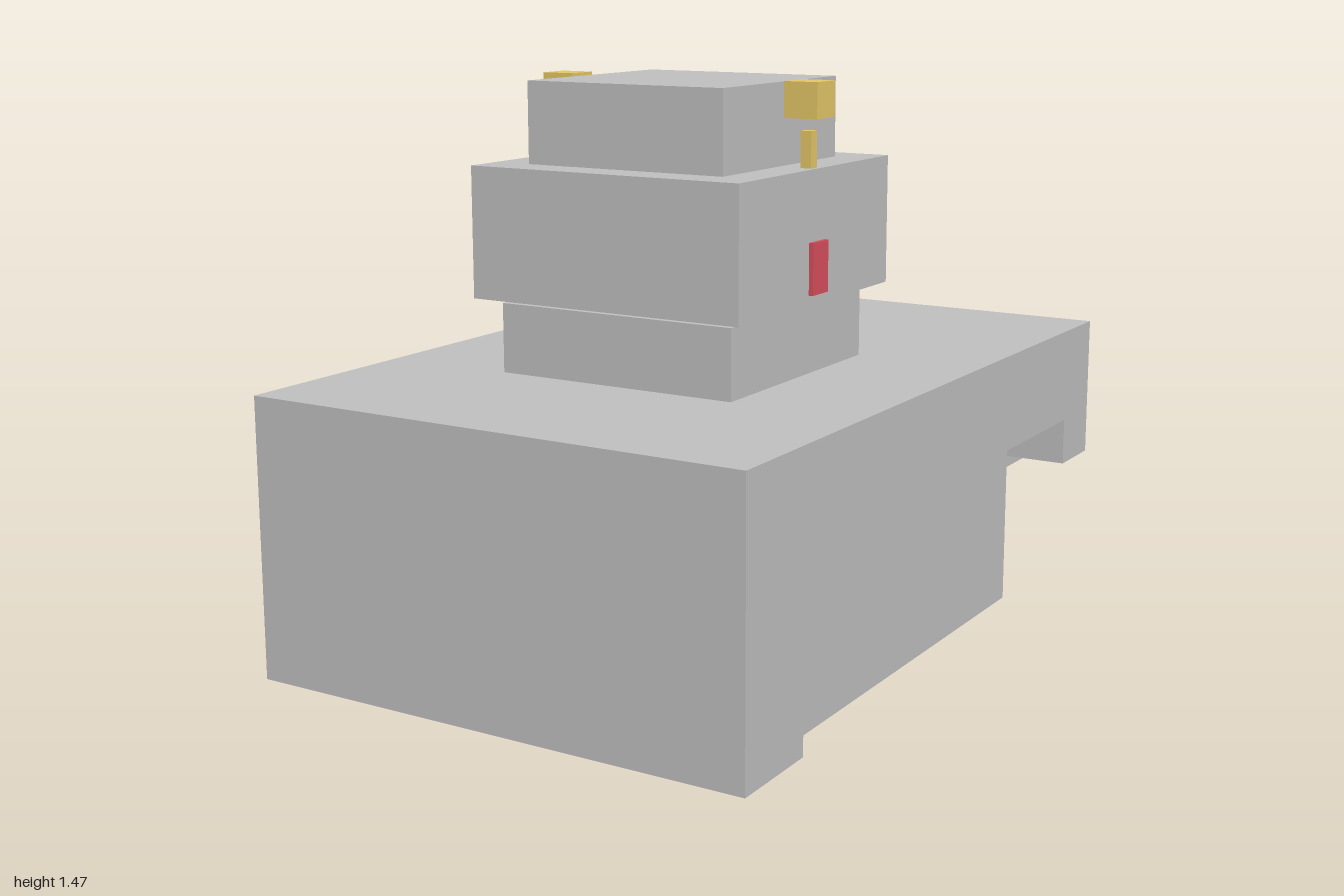
import * as THREE from 'three';

export function createModel() {
  const model = new THREE.Group();
  model.name = 'model';

  const material = (name, color) => {
    const m = new THREE.MeshStandardMaterial({ color });
    m.name = name;
    return m;
  };
  const grey = material('light grey', 0xc0c0c0);
  const gold = material('gold', 0xe5c868);
  const red = material('red', 0xd9505e);

  // Adds a box given by its extents along each axis
  const block = (name, mat, [x0, x1], [y0, y1], [z0, z1]) => {
    const mesh = new THREE.Mesh(new THREE.BoxGeometry(x1 - x0, y1 - y0, z1 - z0), mat);
    mesh.position.set((x0 + x1) / 2, (y0 + y1) / 2, (z0 + z1) / 2);
    mesh.name = name;
    model.add(mesh);
  };

  // Adds the same box on both sides
  const pair = (name, mat, [x0, x1], y, z) => {
    block(name + 'Left', mat, [x0, x1], y, z);
    block(name + 'Right', mat, [-x1, -x0], y, z);
  };

  // Hollow body, open underneath and at the rear
  const W = 0.69;
  block('bodySlab', grey, [-W, W], [0.465, 0.725], [-1, 1]);
  block('frontWall', grey, [-W, W], [0, 0.465], [0.74, 1]);
  pair('sideWall', grey, [0.535, W], [0.052, 0.465], [-0.4, 0.74]);

  // Rear bar with two hanging tabs
  block('rearBar', grey, [-W, W], [0.336, 0.465], [-1, -0.82]);
  pair('rearTab', grey, [0.125, 0.495], [0.287, 0.336], [-1, -0.82]);

  // Stacked tower, set slightly forward
  const tier = (name, half, y, depth) =>
    block(name, grey, [-half, half], y, [0.129 - depth, 0.129 + depth]);
  tier('neck', 0.337, [0.725, 0.905], 0.336);
  tier('head', 0.388, [0.92, 1.257], 0.388);
  tier('headTop', 0.284, [1.257, 1.466], 0.286);

  // Pins joining neck and head
  pair('neckPin', gold, [0.132, 0.184], [0.905, 0.92], [0.105, 0.157]);

  // Side plates
  pair('sidePlate', red, [0.388, 0.4], [0.945, 1.077], [0.094, 0.173]);

  // Antennae with floating cube tips
  pair('antennaRod', gold, [0.346, 0.376], [1.257, 1.349], [0.115, 0.145]);
  pair('antennaCube', gold, [0.316, 0.408], [1.381, 1.471], [0.084, 0.176]);

  return model;
}
